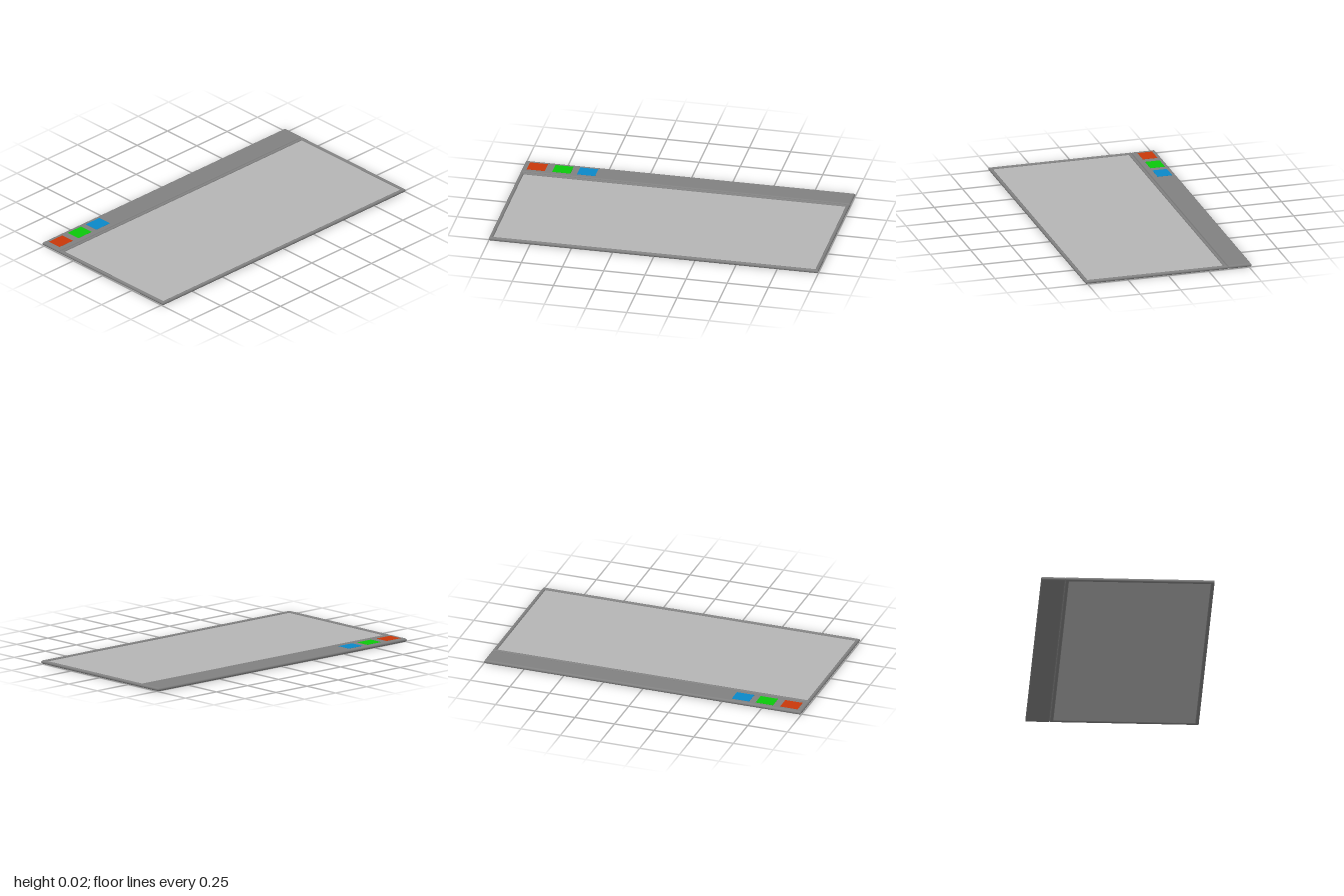
import * as THREE from 'three';

const R = 0.011; // half thickness of the slab edges

const material = (name, color) => {
  const m = new THREE.MeshStandardMaterial({ color });
  m.name = name;
  return m;
};

// Rectangular ring of round bar with mitred corners
function roundRing(x0, x1, z0, z1, sides = 16) {
  const cx = (x0 + x1) / 2, cz = (z0 + z1) / 2;
  const hx = (x1 - x0) / 2 - R, hz = (z1 - z0) / 2 - R;
  const corners = [[1, 1], [1, -1], [-1, -1], [-1, 1]];
  const pos = [], nor = [], idx = [];
  for (let s = 0; s < 4; s++) {
    const a = corners[s], b = corners[(s + 1) % 4];
    const out = [(a[0] + b[0]) / 2, (a[1] + b[1]) / 2]; // outward direction of this side
    const base = pos.length / 3;
    for (let i = 0; i <= sides; i++) {
      const t = (i / sides) * Math.PI * 2, c = Math.cos(t), y = Math.sin(t);
      for (const [sx, sz] of [a, b]) {
        pos.push(cx + sx * (hx + R * c), R + R * y, cz + sz * (hz + R * c));
        nor.push(out[0] * c, y, out[1] * c);
      }
      if (i < sides) {
        const k = base + i * 2;
        idx.push(k, k + 1, k + 2, k + 1, k + 3, k + 2);
      }
    }
  }
  const g = new THREE.BufferGeometry();
  g.setAttribute('position', new THREE.Float32BufferAttribute(pos, 3));
  g.setAttribute('normal', new THREE.Float32BufferAttribute(nor, 3));
  g.setIndex(idx);
  return g;
}

// Flat block given by its extents
function slab(x0, x1, y0, y1, z0, z1) {
  return new THREE.BoxGeometry(x1 - x0, y1 - y0, z1 - z0)
    .translate((x0 + x1) / 2, (y0 + y1) / 2, (z0 + z1) / 2);
}

export function createModel() {
  const group = new THREE.Group();
  group.name = 'windowPanel';
  const add = (name, geometry, mat) => {
    const mesh = new THREE.Mesh(geometry, mat);
    mesh.name = name;
    group.add(mesh);
  };
  const grey = material('frame grey', 0x808080);
  const pale = material('panel grey', 0xb4b4b4);

  // Title bar: rounded rim with a flat core
  add('titleBarRim', roundRing(-1, 1, -0.515, -0.37), grey);
  add('titleBarCore', slab(-1 + R, 1 - R, 0, 2 * R, -0.515 + R, -0.37 - R), grey);

  // Main pane: rounded frame around a thin recessed panel
  add('paneFrame', roundRing(-1, 1, -0.37, 0.515), grey);
  add('panePanel', slab(-1 + R, 1 - R, R - 0.002, R + 0.002, -0.37 + R, 0.515 - R), pale);

  // Three square buttons on the title bar
  const buttons = [
    ['redButton', -0.915, material('red', 0xc8380a)],
    ['greenButton', -0.76, material('green', 0x0ac80a)],
    ['blueButton', -0.61, material('blue', 0x0a88c8)],
  ];
  for (const [name, x, mat] of buttons) {
    add(name, slab(x - 0.055, x + 0.055, 2 * R - 0.002, 2 * R + 0.001, -0.49, -0.4), mat);
  }
  return group;
}
